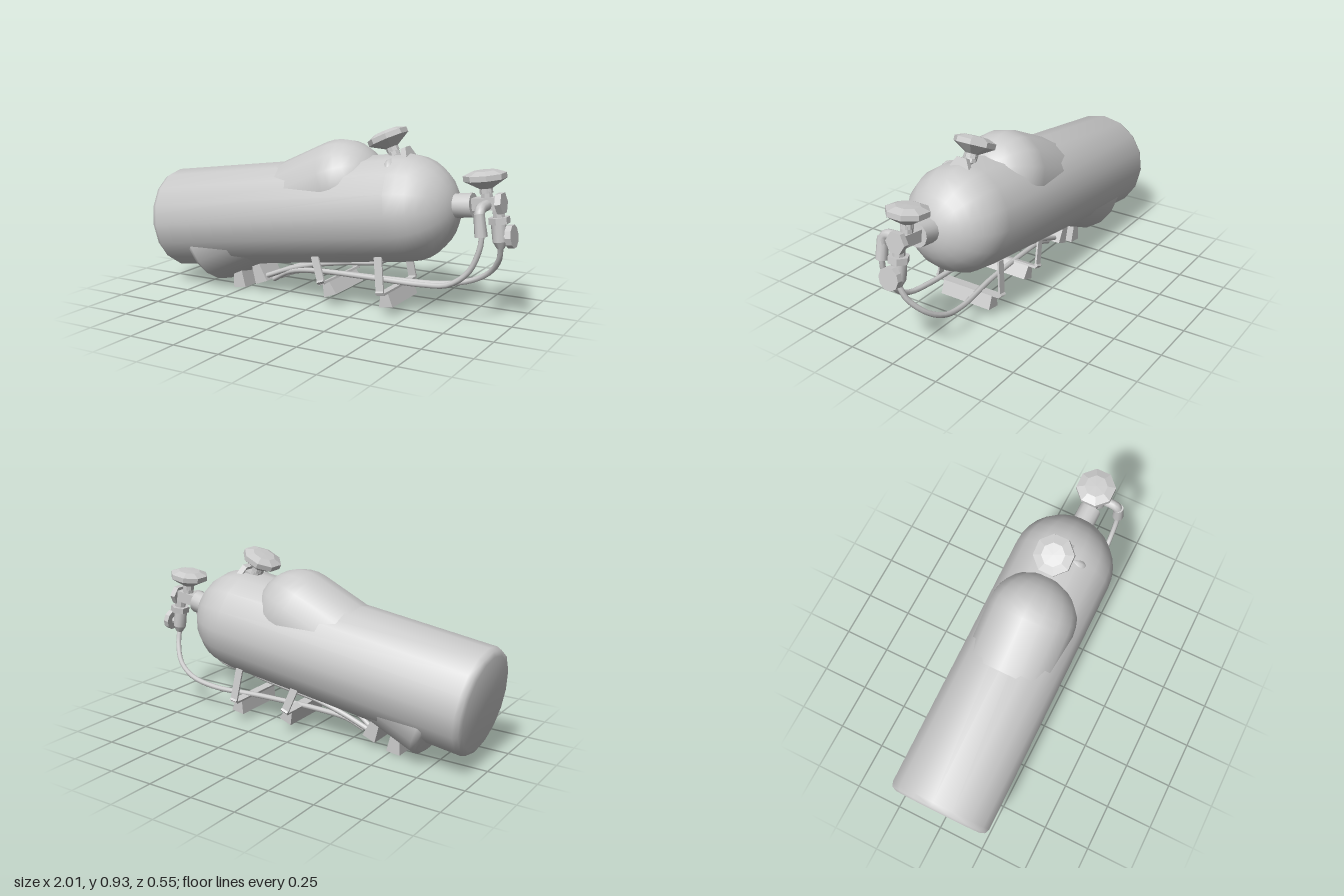
import * as THREE from 'three';
import { toCreasedNormals } from 'three/addons/utils/BufferGeometryUtils.js';

const smooth = new THREE.MeshStandardMaterial({ color: 0xcccccc });
const flat = new THREE.MeshStandardMaterial({ color: 0xcccccc, flatShading: true });
const V = (x, y, z = 0) => new THREE.Vector3(x, y, z);

function add(parent, name, geo, mat, x = 0, y = 0, z = 0) {
  const m = new THREE.Mesh(geo, mat);
  m.name = name;
  m.position.set(x, y, z);
  parent.add(m);
  return m;
}

function frame(parent, name, x, y, degrees) {
  const g = new THREE.Group();
  g.name = name;
  g.position.set(x, y, 0);
  g.rotation.z = THREE.MathUtils.degToRad(degrees);
  parent.add(g);
  return g;
}

// Cylinder along x instead of y
const rodX = (r, len, sides) => new THREE.CylinderGeometry(r, r, len, sides).rotateZ(-Math.PI / 2);

// Bottle along +x: flat bevelled base, hemispherical shoulder centred on the origin
function tankGeometry(r, length) {
  const b = 0.035;
  const pts = [[0, -length], [r - b, -length], [r - b * 0.3, -length + b * 0.3], [r, -length + b]]
    .map(p => new THREE.Vector2(...p));
  const steps = 8;
  for (let i = 0; i <= steps; i++) {
    const a = (i / steps) * Math.PI / 2;
    pts.push(new THREE.Vector2(i === steps ? 0 : r * Math.cos(a), r * Math.sin(a)));
  }
  return toCreasedNormals(new THREE.LatheGeometry(pts, 16).rotateZ(-Math.PI / 2), 0.82);
}

// Valve: origin at the tank's tip, x along the tank, y towards the knob
function addValve(parent, x) {
  const v = new THREE.Group();
  v.name = 'valve';
  v.position.x = x;
  parent.add(v);

  add(v, 'neck', toCreasedNormals(rodX(0.06, 0.12, 12), 0.7), smooth, 0.025, 0, 0);
  add(v, 'valveBody', new THREE.BoxGeometry(0.15, 0.06, 0.06), flat, 0.15, 0.005, 0);
  add(v, 'endNut', rodX(0.055, 0.03, 6), flat, 0.222, 0.003, 0);

  // Octagonal hand wheel
  const knob = [[0, 0.055], [0.032, 0.055], [0.032, 0.078], [0.104, 0.12], [0.104, 0.146], [0.06, 0.163], [0, 0.165]]
    .map(p => new THREE.Vector2(...p));
  add(v, 'knob', new THREE.LatheGeometry(knob, 8, Math.PI / 8), flat, 0.155, 0, 0);
  add(v, 'knobStem', new THREE.CylinderGeometry(0.03, 0.03, 0.07, 8), flat, 0.155, 0.045, 0);

  // Side elbow with hose sleeve
  const bend = new THREE.CatmullRomCurve3([
    V(0.16, 0.0, 0.0), V(0.16, 0.0, 0.07), V(0.16, -0.008, 0.115), V(0.16, -0.045, 0.132), V(0.16, -0.09, 0.134)]);
  add(v, 'elbow', new THREE.TubeGeometry(bend, 14, 0.026, 10), smooth);
  add(v, 'elbowSleeve', toCreasedNormals(new THREE.CylinderGeometry(0.026, 0.031, 0.11, 10), 0.8), smooth, 0.16, -0.075, 0.134);

  // Lower outlet and gauge
  add(v, 'outletStem', new THREE.CylinderGeometry(0.03, 0.03, 0.08, 8), flat, 0.206, -0.04, 0);
  add(v, 'outletNut', new THREE.CylinderGeometry(0.052, 0.052, 0.032, 6), flat, 0.206, -0.078, 0);
  add(v, 'outlet', toCreasedNormals(new THREE.CylinderGeometry(0.036, 0.036, 0.09, 10), 0.8), smooth, 0.2, -0.135, 0);
  add(v, 'outletTip', toCreasedNormals(new THREE.CylinderGeometry(0.036, 0.018, 0.035, 10), 0.8), smooth, 0.2, -0.197, 0);
  add(v, 'gaugeNeck', rodX(0.022, 0.05, 8), flat, 0.235, -0.157, 0);
  add(v, 'gauge', rodX(0.057, 0.03, 10), flat, 0.258, -0.157, 0);
}

// Block that widens towards its bottom
function footGeometry(top, bottom, height, depth) {
  const g = new THREE.BoxGeometry(bottom, height, depth);
  const p = g.attributes.position;
  for (let i = 0; i < p.count; i++) if (p.getY(i) > 0) p.setX(i, p.getX(i) * top / bottom);
  g.computeVertexNormals();
  return g;
}

// U-shaped strap with a foot block underneath
function addStrap(parent, x, y, lean, height) {
  const g = frame(parent, 'bracket', x, y, lean);
  add(g, 'strapBase', new THREE.BoxGeometry(0.042, 0.012, 0.38), flat);
  for (const s of [-1, 1]) {
    const arm = add(g, 'strapArm', new THREE.BoxGeometry(0.042, height, 0.01), flat, 0, height / 2, s * 0.18);
    arm.rotation.x = s * -0.13;
    const corner = add(g, 'strapCorner', new THREE.BoxGeometry(0.042, 0.012, 0.025), flat, 0, 0.006, s * 0.19);
    corner.rotation.x = s * -0.78;
  }
  add(g, 'bracketFoot', footGeometry(0.042, 0.075, 0.07, 0.296), flat, 0, -0.04, 0);
}

export function createModel() {
  const model = new THREE.Group();
  model.name = 'tankSet';

  // Main tank and the smaller, steeper tank crossing through it
  const main = frame(model, 'mainTank', 0.437, 0.532, 7.6);
  add(main, 'mainTankShell', tankGeometry(0.273, 1.42), smooth);
  addValve(main, 0.27);

  const second = frame(model, 'secondTank', 0.08, 0.618, 24.8);
  add(second, 'secondTankShell', tankGeometry(0.235, 0.93), smooth);
  addValve(second, 0.18);

  // Hoses running from the valves back under the tanks
  const hoses = [
    [[0.885, 0.49, 0.134], [0.875, 0.4, 0.134], [0.82, 0.28, 0.13], [0.72, 0.205, 0.128], [0.58, 0.185, 0.12],
      [0.3, 0.18, 0.11], [-0.05, 0.165, 0.08], [-0.22, 0.13, 0.05], [-0.33, 0.07, 0.03]],
    [[0.93, 0.39, 0], [0.915, 0.32, -0.03], [0.85, 0.235, -0.085], [0.75, 0.175, -0.11], [0.6, 0.14, -0.1],
      [0.3, 0.135, -0.06], [-0.05, 0.13, -0.04], [-0.22, 0.115, -0.03], [-0.32, 0.075, -0.02]],
    [[0.42, 0.31, 0.1], [0.34, 0.265, 0.1], [0.15, 0.235, 0.09], [-0.05, 0.195, 0.07], [-0.22, 0.145, 0.05], [-0.36, 0.09, 0.05]],
    [[0.42, 0.31, -0.08], [0.34, 0.265, -0.08], [0.15, 0.23, -0.08], [-0.05, 0.19, -0.06], [-0.22, 0.14, -0.05], [-0.36, 0.085, -0.04]],
  ];
  for (const pts of hoses) {
    const path = new THREE.CatmullRomCurve3(pts.map(p => V(...p)));
    add(model, 'hose', new THREE.TubeGeometry(path, 40, 0.014, 8), smooth);
  }

  // Brackets and rear feet
  addStrap(model, 0.39, 0.124, 8, 0.185);
  addStrap(model, 0.058, 0.135, 21, 0.145);
  const rear = frame(model, 'rearFoot', -0.53, 0.058, 7);
  add(rear, 'rearFootBlock', footGeometry(0.05, 0.076, 0.1, 0.156), flat);
  const middle = frame(model, 'middleFoot', -0.4, 0.1, 21);
  add(middle, 'middleFootBlock', footGeometry(0.05, 0.076, 0.1, 0.156), flat);

  return model;
}
